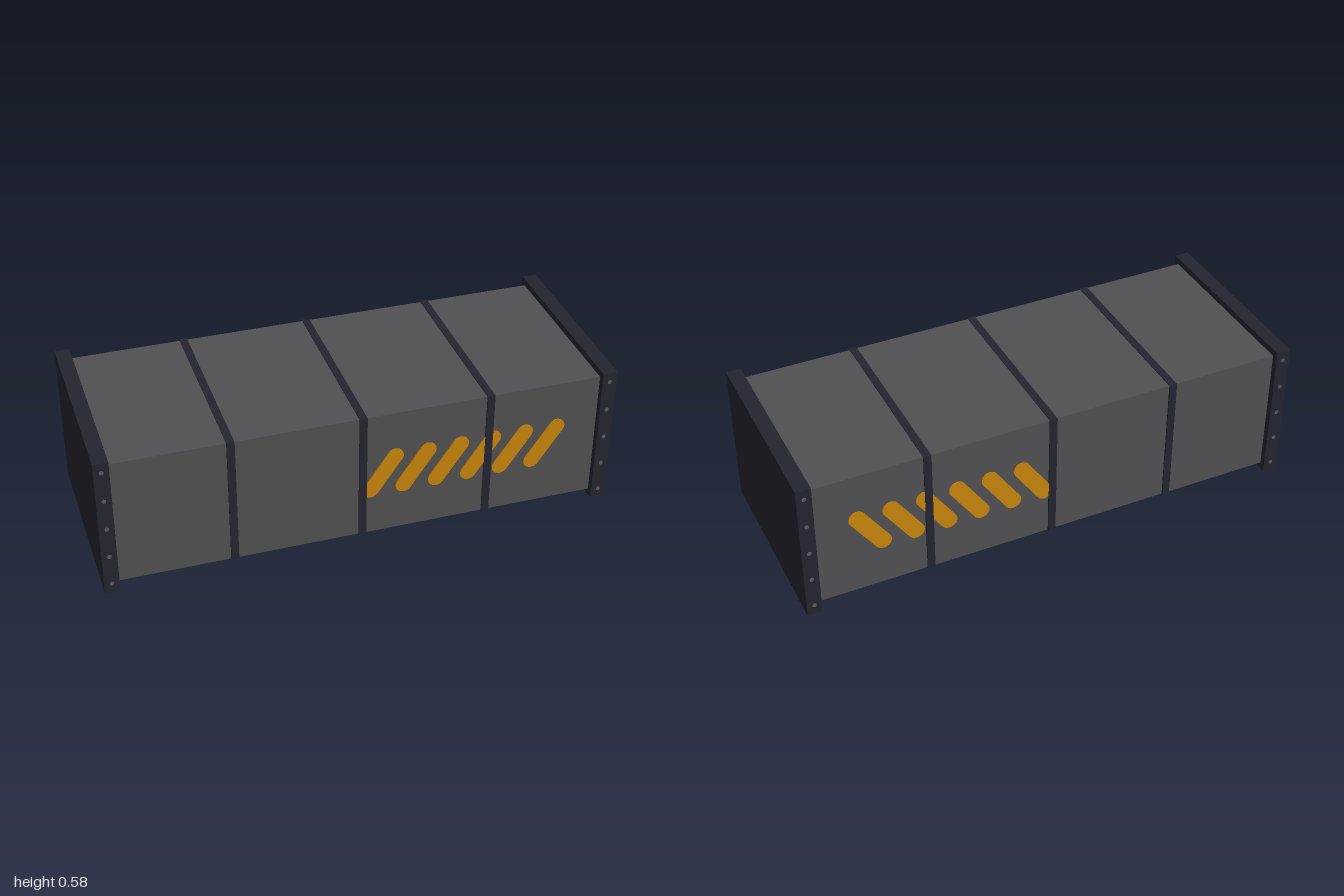
import * as THREE from 'three';

const mat = (name, color) => {
  const m = new THREE.MeshStandardMaterial({ color });
  m.name = name;
  return m;
};

export function createModel() {
  const group = new THREE.Group();
  const panelGrey = mat('panel grey', 0x515153);
  const darkNavy = mat('dark navy', 0x252530);
  const amber = mat('amber', 0xc9860c);
  const boltGrey = mat('bolt grey', 0x5c5c62);

  const add = (name, geometry, material, x, y, z) => {
    const mesh = new THREE.Mesh(geometry, material);
    mesh.name = name;
    mesh.position.set(x, y, z);
    group.add(mesh);
    return mesh;
  };

  const midY = 0.29, height = 0.526, depth = 0.73;

  // Long duct body
  add('body', new THREE.BoxGeometry(1.9, height, depth), panelGrey, 0, midY, 0);

  // Thin seam bands wrapped round the body
  const band = new THREE.BoxGeometry(0.03, height + 0.006, depth + 0.012);
  for (const x of [-0.5, 0, 0.5]) add('seamBand', band, darkNavy, x, midY, 0);

  // End flanges, with a column of bolts on the front and back edges
  const flange = new THREE.BoxGeometry(0.058, 0.58, 0.78);
  const bolt = new THREE.CylinderGeometry(0.009, 0.009, 0.004, 6).rotateX(Math.PI / 2);
  for (const side of [-1, 1]) {
    add('endFlange', flange, darkNavy, side * 0.971, midY, 0);
    for (const face of [-1, 1])
      for (let i = 0; i < 5; i++)
        add('bolt', bolt, boltGrey, side * 0.971, 0.04 + i * 0.125, face * 0.39);
  }

  // Slanted round-ended warning stripe, running under the seam bands
  const r = 0.033, dx = 0.094, dy = 0.137;
  const half = Math.hypot(dx, dy) / 2;
  const shape = new THREE.Shape();
  shape.absarc(0, half, r, 0, Math.PI, false);
  shape.absarc(0, -half, r, Math.PI, Math.PI * 2, false);
  shape.closePath();
  const stripe = new THREE.ExtrudeGeometry(shape, { depth: 0.004, bevelEnabled: false, curveSegments: 10 })
    .translate(0, 0, -0.002)
    .rotateZ(-Math.atan2(dx, dy));
  for (const face of [-1, 1])
    for (let i = 0; i < 6; i++)
      add('warningStripe', stripe, amber, 0.08 + i * 0.13, 0.293, face * (depth / 2 + 0.001));

  return group;
}
